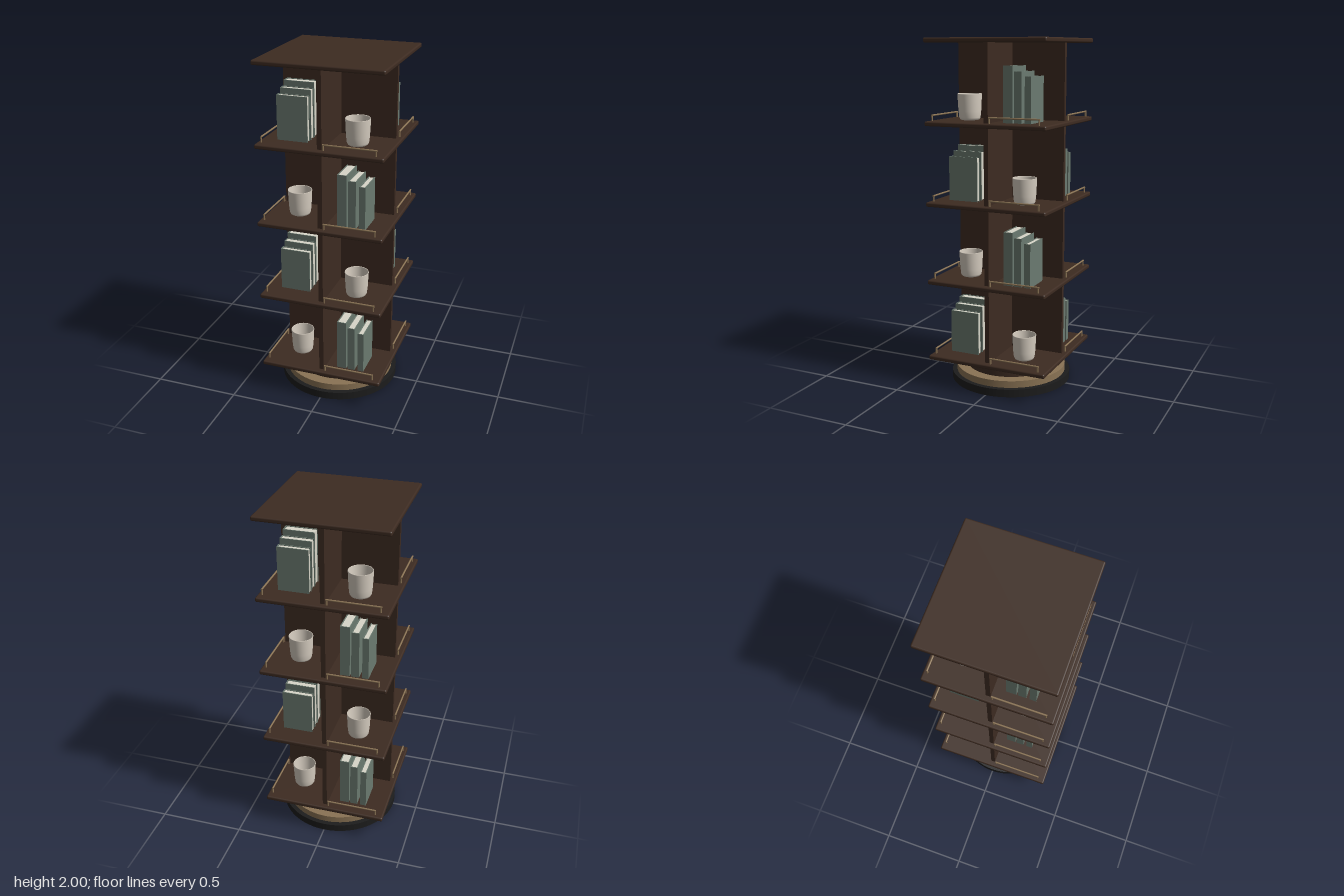
import * as THREE from 'three';
import { RoundedBoxGeometry } from 'three/addons/geometries/RoundedBoxGeometry.js';

const mat = (name, color, side = THREE.FrontSide) => {
  const m = new THREE.MeshStandardMaterial({ color, side });
  m.name = name;
  return m;
};

export function createModel() {
  const wood = mat('dark wood', 0x3d2b21);
  const black = mat('black base', 0x1c1c1c);
  const brass = mat('aged brass', 0x8a7354);
  const green = mat('book cloth', 0x6b7a70);
  const paper = mat('paper', 0xd8d5c8);
  const ceramic = mat('ceramic', 0xd6cdc0, THREE.DoubleSide);

  const model = new THREE.Group();
  model.name = 'revolvingBookcase';

  const add = (parent, name, geo, material, x = 0, y = 0, z = 0) => {
    const mesh = new THREE.Mesh(geo, material);
    mesh.name = name;
    mesh.position.set(x, y, z);
    parent.add(mesh);
    return mesh;
  };
  const group = (parent, name) => {
    const g = new THREE.Group();
    g.name = name;
    parent.add(g);
    return g;
  };
  const disc = (name, r, y0, y1, material) =>
    add(model, name, new THREE.CylinderGeometry(r, r, y1 - y0, 64), material, 0, (y0 + y1) / 2, 0);

  // Turntable base
  disc('baseDisc', 0.353, 0, 0.045, black);
  disc('bearingRing', 0.325, 0.045, 0.085, brass);
  disc('turntable', 0.262, 0.085, 0.162, wood);

  // Shelf boards
  const PITCH = 0.4535, FIRST = 0.16, THICK = 0.026;
  const shelfGeo = new RoundedBoxGeometry(0.726, THICK, 0.726, 3, 0.009);
  for (let i = 0; i < 5; i++) {
    add(model, 'shelf', shelfGeo, wood, 0, FIRST + i * PITCH + THICK / 2, 0);
  }

  // Shared profiles
  const cupGeo = new THREE.LatheGeometry([
    [0, 0], [0.048, 0], [0.055, 0.004], [0.06, 0.014], [0.064, 0.05], [0.069, 0.144],
    [0.067, 0.147], [0.064, 0.144], [0.059, 0.05], [0.054, 0.014], [0, 0.012],
  ].map(([x, y]) => new THREE.Vector2(x, y)), 40);
  const rodGeo = new THREE.CylinderGeometry(0.005, 0.005, 0.3, 12).rotateZ(Math.PI / 2);
  const postGeo = new THREE.CylinderGeometry(0.005, 0.005, 0.032, 12);

  // Book with its spine facing +z
  const addBook = (parent, x, width, height) => {
    const book = group(parent, 'book');
    book.position.set(x, 0, 0.188);
    const depth = 0.176, c = 0.005;
    for (const s of [-1, 1]) {
      add(book, 'bookCover', new THREE.BoxGeometry(c, height, depth), green, s * (width - c) / 2, height / 2, 0);
    }
    add(book, 'bookSpine', new THREE.BoxGeometry(width - 2 * c, height, c), green, 0, height / 2, (depth - c) / 2);
    add(book, 'bookPages', new THREE.BoxGeometry(width - 2 * c, height - 0.008, depth - 0.01), paper,
      0, height / 2, -0.002);
  };

  // Four tiers, each turned a quarter from the one below
  const panelHeight = PITCH - THICK + 0.004;
  for (let i = 0; i < 4; i++) {
    const tier = group(model, 'tier');
    tier.position.y = FIRST + THICK + i * PITCH;
    tier.rotation.y = i * Math.PI / 2;

    // Crossed dividers
    add(tier, 'divider', new THREE.BoxGeometry(0.66, panelHeight, 0.026), wood, 0, panelHeight / 2 - 0.002, 0);
    for (const s of [-1, 1]) {
      add(tier, 'crossDivider', new THREE.BoxGeometry(0.026, panelHeight, 0.317), wood,
        0, panelHeight / 2 - 0.002, s * 0.1715);
    }

    // Books and cups in opposite bays
    for (let half = 0; half < 2; half++) {
      const bays = group(tier, 'bayPair');
      bays.rotation.y = half * Math.PI;
      addBook(bays, 0.107, 0.056, 0.305);
      addBook(bays, 0.165, 0.044, 0.276);
      addBook(bays, 0.223, 0.036, 0.25);
      add(bays, 'cup', cupGeo, ceramic, -0.18, 0.001, 0.165);
    }

    // One guard rail on each side
    for (let side = 0; side < 4; side++) {
      const rail = group(tier, 'guardRail');
      rail.rotation.y = side * Math.PI / 2;
      add(rail, 'railRod', rodGeo, brass, 0.17, 0.031, 0.338);
      for (const x of [0.025, 0.315]) add(rail, 'railPost', postGeo, brass, x, 0.015, 0.338);
    }
  }
  return model;
}
